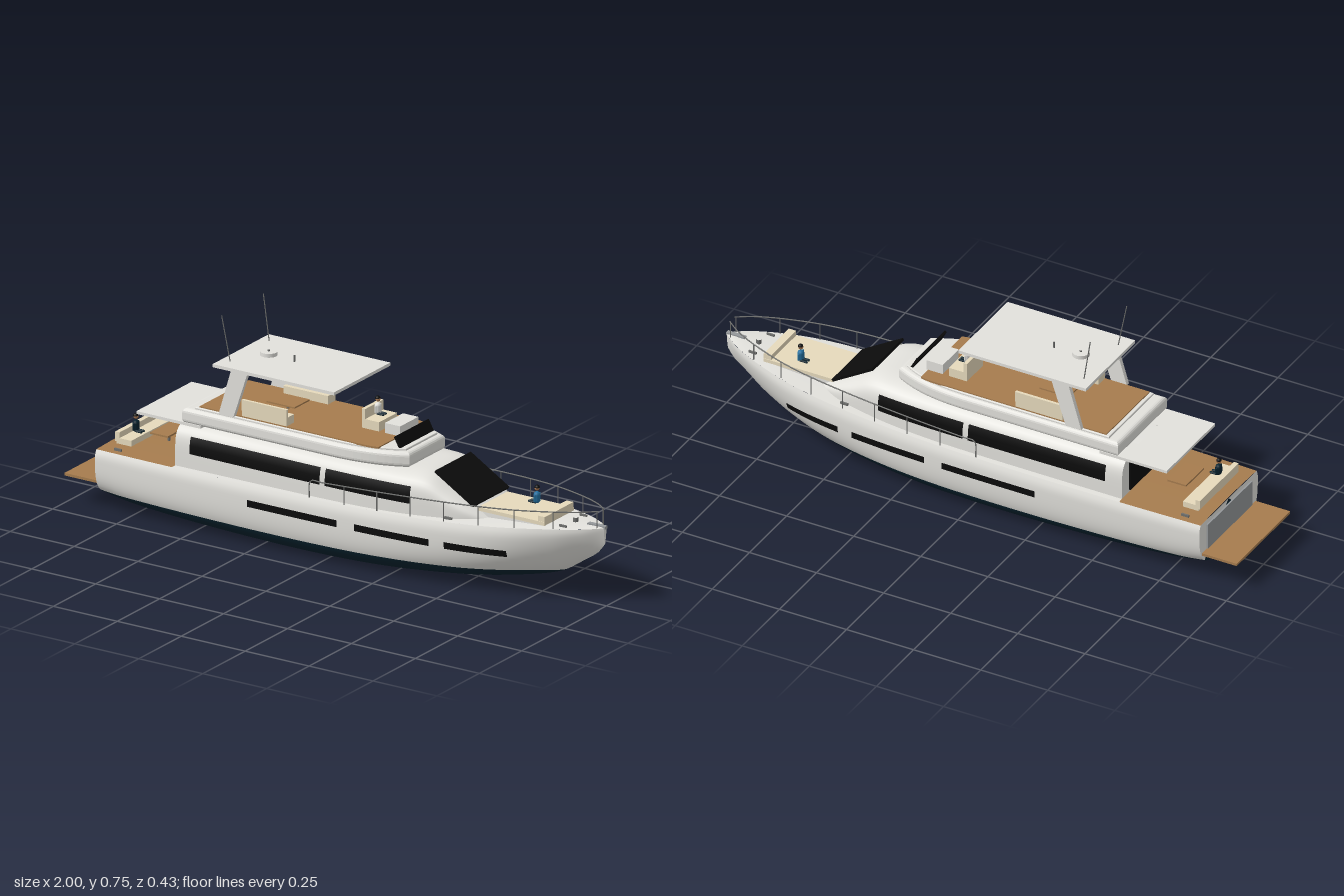
import * as THREE from 'three';

const mat = (name, color) => Object.assign(new THREE.MeshStandardMaterial({ color }), { name });
const M = {
  white: mat('gelcoat white', 0xe2e1dc), navy: mat('antifouling navy', 0x06222e),
  glass: mat('tinted glass', 0x0b0b0b), teak: mat('teak', 0xa67c4e),
  cream: mat('cream cushion', 0xe6dabc), grey: mat('grey panel', 0x94979a),
  steel: mat('rail steel', 0x6f706e), skin: mat('skin', 0xa8764f), blue: mat('blue shirt', 0x2470a0),
};

// Smooth interpolation through [x, value] pairs
function curve(pts) {
  const n = pts.length - 1;
  const slope = i => {
    const a = pts[Math.max(i - 1, 0)], b = pts[Math.min(i + 1, n)];
    return (b[1] - a[1]) / (b[0] - a[0]);
  };
  return x => {
    x = THREE.MathUtils.clamp(x, pts[0][0], pts[n][0]);
    let i = 0;
    while (i < n - 1 && x > pts[i + 1][0]) i++;
    const h = pts[i + 1][0] - pts[i][0], t = (x - pts[i][0]) / h, t2 = t * t, t3 = t2 * t;
    return (2 * t3 - 3 * t2 + 1) * pts[i][1] + (t3 - 2 * t2 + t) * h * slope(i)
      + (3 * t2 - 2 * t3) * pts[i + 1][1] + (t3 - t2) * h * slope(i + 1);
  };
}
const range = (a, b, n) => Array.from({ length: n + 1 }, (_, i) => a + (b - a) * i / n);

// Hull lines: deck half-width, sheer height, keel height, waterline
const beam = curve([[-0.87, 0.197], [-0.6, 0.204], [-0.2, 0.208], [0.2, 0.201], [0.5, 0.18], [0.7, 0.148], [0.85, 0.098], [0.94, 0.052], [0.995, 0.008]]);
const sheer = curve([[-0.87, 0.217], [-0.3, 0.221], [0.2, 0.228], [0.55, 0.244], [0.8, 0.262], [0.995, 0.272]]);
const keel = curve([[-0.87, 0.044], [-0.77, 0.026], [-0.47, 0.008], [0, 0.002], [0.49, 0.025], [0.7, 0.053], [0.83, 0.09], [0.914, 0.142], [0.97, 0.182], [0.995, 0.215]]);
const water = curve([[-0.87, 0.068], [0, 0.066], [0.5, 0.078], [0.8, 0.094], [1, 0.1]]);
function hullZ(x, y) {
  const k = keel(x), v = THREE.MathUtils.clamp((y - k) / (sheer(x) - k), 0, 1);
  const t = THREE.MathUtils.smoothstep(x, 0.1, 0.98);
  const p = 4 - 2.4 * t, q = 4 - 2.9 * t, lip = Math.max(0, (v - 0.82) / 0.18);
  return beam(x) * Math.pow(1 - Math.pow(1 - v, p), 1 / q) * (1 - 0.045 * lip * lip);
}

// Deckhouse lines
const houseW = curve([[-0.57, 0.176], [0.1, 0.178], [0.3, 0.168], [0.42, 0.152], [0.52, 0.13], [0.6, 0.09]]);
const houseTop = curve([[-0.57, 0.372], [0.3, 0.372], [0.39, 0.366], [0.46, 0.328], [0.54, 0.283], [0.6, 0.25]]);
const HOUSE_BASE = 0.215;
function houseZ(x, y) {
  const v = THREE.MathUtils.clamp((y - HOUSE_BASE) / (houseTop(x) - HOUSE_BASE), 0, 1);
  return houseW(x) * Math.pow(1 - Math.pow(v, 6), 1 / 3.5);
}

// Skin over cross-sections; groups run along strips so each can take a colour
function loft(rows, bands) {
  const m = rows[0].length, idx = [], g = new THREE.BufferGeometry();
  for (let j = 0; j < m - 1; j++)
    for (let i = 0; i < rows.length - 1; i++) {
      const a = i * m + j, c = a + m;
      idx.push(a, a + 1, c, a + 1, c + 1, c);
    }
  g.setAttribute('position', new THREE.Float32BufferAttribute(rows.flat(2), 3));
  g.setIndex(idx);
  g.computeVertexNormals();
  const per = (rows.length - 1) * 6;
  if (bands) bands.forEach(([from, to, k]) => g.addGroup(from * per, (to - from) * per, k));
  return g;
}

export function createModel() {
  const root = new THREE.Group();
  root.name = 'motorYacht';
  const add = (name, geo, material, x = 0, y = 0, z = 0, parent = root) => {
    const mesh = new THREE.Mesh(geo, material);
    mesh.name = name;
    mesh.position.set(x, y, z);
    parent.add(mesh);
    return mesh;
  };
  // Box given by its limits
  const box = (name, m, x0, x1, y0, y1, z0, z1) =>
    add(name, new THREE.BoxGeometry(x1 - x0, y1 - y0, z1 - z0), m, (x0 + x1) / 2, (y0 + y1) / 2, (z0 + z1) / 2);
  const rod = (name, m, a, b, r, sides = 6) => {
    const A = new THREE.Vector3(...a), B = new THREE.Vector3(...b);
    return add(name, new THREE.TubeGeometry(new THREE.LineCurve3(A, B), 1, r, sides), m);
  };

  // Hull: topsides and painted bottom in one skin
  const NT = 14, NB = 12;
  const hullRow = x => {
    const k = keel(x), w = Math.max(water(x), k + 0.0005), s = sheer(x), half = [];
    for (let i = 0; i <= NT; i++) half.push(s + (w - s) * i / NT);
    for (let i = 1; i <= NB; i++) half.push(k + (w - k) * (1 - i / NB) ** 2);
    const port = half.map(y => [x, y, hullZ(x, y)]);
    return [...port, ...port.slice(0, -1).reverse().map(([a, b, c]) => [a, b, -c])];
  };
  const bands = [[0, NT, 0], [NT, NT + 2 * NB, 1], [NT + 2 * NB, 2 * (NT + NB), 0]];
  const stations = [...range(-0.87, 0.6, 40), ...range(0.62, 0.995, 30)];
  add('hull', loft(stations.map(hullRow), bands), [M.white, M.navy]);
  const stern = hullRow(-0.87);
  add('transom', loft([stern.map(() => [-0.87, 0.217, 0]), stern], bands), [M.white, M.navy]);
  box('transomDoor', M.grey, -0.876, -0.869, 0.108, 0.2, -0.15, 0.15);
  const bow = hullRow(0.995);
  add('stemFace', loft([bow, bow.map(() => [0.998, 0.268, 0])]), M.white);

  // Decks
  const deck = (x0, x1) => loft(range(x0, x1, 40).map(x => range(-1, 1, 8).map(t =>
    [x, sheer(x) + 0.004 * (1 - t * t), t * hullZ(x, sheer(x))])));
  add('aftDeck', deck(-0.87, -0.57), M.teak);
  add('mainDeck', deck(-0.57, 0.995), M.white);
  box('swimPlatform', M.teak, -1, -0.865, 0.096, 0.105, -0.18, 0.18);

  // Side windows hugging a surface
  const windows = (name, zAt, x0, x1, y0, y1, off) => [1, -1].forEach(s =>
    add(name, loft(range(x0, x1, 16).map(x => range(s > 0 ? y1 : y0, s > 0 ? y0 : y1, 4).map(y =>
      [x, y, s * (zAt(x, y) + off)]))), M.glass));
  [[-0.265, 0.083], [0.15, 0.43], [0.485, 0.7]].forEach(([a, b]) => windows('hullWindow', hullZ, a, b, 0.15, 0.174, 0.005));
  [[-0.51, 0], [0.02, 0.343]].forEach(([a, b]) => windows('cabinWindow', houseZ, a, b, 0.273, 0.331, 0.006));

  // Deckhouse with rounded roof edge and sloping front
  const houseRow = x => {
    const h = houseTop(x) - HOUSE_BASE;
    const half = range(0, 1, 16).map(t => HOUSE_BASE + h * (1 - (1 - t) ** 2.2)).map(y => [x, y, houseZ(x, y)]);
    return [...half.map(([a, b, c]) => [a, b, -c]), ...half.slice(0, -1).reverse()];
  };
  add('deckhouse', loft([...range(-0.57, 0.25, 16), ...range(0.27, 0.6, 24)].map(houseRow)), M.white);
  const aft = houseRow(-0.57), fore = houseRow(0.6);
  add('aftBulkhead', loft([aft.map(() => [-0.57, HOUSE_BASE, 0]), aft]), M.white);
  add('houseNose', loft([fore, fore.map(() => [0.6, HOUSE_BASE, 0])]), M.white);
  box('saloonDoor', M.glass, -0.577, -0.569, 0.23, 0.35, -0.13, 0.13);
  const shield = add('windscreen', new THREE.BoxGeometry(0.176, 0.009, 0.208), M.glass, 0.474, 0.332, 0);
  shield.rotation.z = -Math.atan2(0.09, 0.15);
  box('aftOverhang', M.white, -0.73, -0.48, 0.361, 0.371, -0.163, 0.163);

  // Flybridge coaming, tapered towards the front
  const plan = (x0, x1, w, nose, taper) => {
    const s = new THREE.Shape();
    s.moveTo(x0, -w); s.lineTo(x1 - taper, -w);
    s.quadraticCurveTo(x1 - taper * 0.4, -w, x1, -nose);
    s.lineTo(x1, nose);
    s.quadraticCurveTo(x1 - taper * 0.4, w, x1 - taper, w);
    s.lineTo(x0, w);
    return s;
  };
  const slab = (name, m, shape, y, h, bevel) => {
    const g = new THREE.ExtrudeGeometry(shape, { depth: h - 2 * bevel, bevelEnabled: bevel > 0, bevelSize: bevel, bevelThickness: bevel, bevelSegments: 4, curveSegments: 10 });
    g.rotateX(-Math.PI / 2);
    return add(name, g, m, 0, y + bevel, 0);
  };
  slab('flybridgeCoaming', M.white, plan(-0.535, 0.285, 0.15, 0.095, 0.26), 0.367, 0.053, 0.015);
  slab('coamingLip', M.white, plan(-0.505, 0.275, 0.148, 0.09, 0.24), 0.418, 0.009, 0.003);
  slab('flybridgeDeck', M.teak, plan(-0.495, 0.2, 0.145, 0.138, 0.06), 0.425, 0.006, 0);
  const visor = add('flybridgeScreen', new THREE.BoxGeometry(0.008, 0.042, 0.195), M.glass, 0.247, 0.444, 0);
  visor.rotation.z = 0.5;

  // Hardtop, its legs and equipment
  box('hardtop', M.white, -0.43, 0.045, 0.587, 0.598, -0.166, 0.166);
  [1, -1].forEach(s => {
    const leg = new THREE.Shape([[-0.41, 0], [-0.352, 0], [-0.298, 0.16], [-0.362, 0.16]].map(p => new THREE.Vector2(...p)));
    add('hardtopLeg', new THREE.ExtrudeGeometry(leg, { depth: 0.015, bevelEnabled: false }), M.white, 0, 0.428, s * 0.153 - 0.0075);
    rod('antenna', M.steel, [-0.395, 0.597, s * 0.115], [-0.423, 0.755, s * 0.123], 0.0018);
    // Flybridge benches
    box('benchSeat', M.cream, -0.33, -0.155, 0.43, 0.46, s * 0.122 - 0.022, s * 0.122 + 0.022);
    box('benchBack', M.cream, -0.33, -0.155, 0.45, 0.488, s * 0.14 - 0.005, s * 0.14 + 0.005);
  });
  add('radarDome', new THREE.CylinderGeometry(0.029, 0.029, 0.013, 28), M.white, -0.32, 0.608, 0);
  rod('radarPost', M.steel, [-0.32, 0.58, 0], [-0.32, 0.62, 0], 0.004);
  rod('mastLight', M.steel, [-0.22, 0.597, 0], [-0.22, 0.622, 0], 0.003);
  box('flybridgeTable', M.teak, -0.3, -0.19, 0.454, 0.459, -0.045, 0.045);
  rod('tableLeg', M.steel, [-0.245, 0.43, 0], [-0.245, 0.456, 0], 0.005);

  // Helm
  box('helmSeat', M.cream, 0.055, 0.122, 0.43, 0.463, -0.09, 0.017);
  box('helmSeatBack', M.cream, 0.055, 0.068, 0.46, 0.498, -0.09, 0.017);
  box('helmConsole', M.white, 0.145, 0.205, 0.43, 0.466, -0.09, 0.017);

  // Cockpit furniture
  box('cockpitSofa', M.cream, -0.83, -0.772, 0.228, 0.248, -0.13, 0.13);
  box('cockpitSofaBack', M.cream, -0.835, -0.818, 0.235, 0.268, -0.13, 0.13);
  box('cockpitTable', M.teak, -0.745, -0.675, 0.256, 0.262, -0.06, 0.06);
  rod('tableLeg', M.steel, [-0.71, 0.22, 0], [-0.71, 0.258, 0], 0.005);

  // Foredeck sunpad
  box('sunpadBase', M.white, 0.56, 0.81, 0.24, 0.268, -0.08, 0.08);
  box('sunpad', M.cream, 0.555, 0.815, 0.268, 0.28, -0.087, 0.087);
  box('sunpadHeadrest', M.cream, 0.788, 0.815, 0.28, 0.298, -0.085, 0.085);

  // Bow rail following the deck edge
  const railY = x => 0.283 + 0.047 * (x + 0.035) / 1.01;
  [1, -1].forEach(s => {
    const edge = (x, y) => new THREE.Vector3(x, y, s * Math.max(0.006, hullZ(x, sheer(x)) - 0.005));
    const path = [edge(-0.035, sheer(-0.035)), ...range(-0.03, 0.98, 24).map(x => edge(x, railY(x)))];
    add('bowRail', new THREE.TubeGeometry(new THREE.CatmullRomCurve3(path), 80, 0.0022, 6), M.steel);
    range(0.1, 0.975, 7).forEach(x =>
      rod('railPost', M.steel, edge(x, sheer(x)).toArray(), edge(x, railY(x)).toArray(), 0.0018));
    [-0.8, 0.48, 0.87].forEach(x =>
      box('cleat', M.steel, x - 0.014, x + 0.014, sheer(x), sheer(x) + 0.009, s * hullZ(x, sheer(x)) - s * 0.025 - 0.003, s * hullZ(x, sheer(x)) - s * 0.025 + 0.003));
  });
  rod('windlass', M.steel, [0.88, 0.262, 0], [0.88, 0.286, 0], 0.009, 12);
  box('anchorRoller', M.grey, 0.93, 0.999, 0.268, 0.278, -0.008, 0.008);

  // Seated people
  const person = (x, y, z, shirt, dir) => {
    const p = new THREE.Group();
    p.name = 'person';
    p.position.set(x, y, z);
    root.add(p);
    add('torso', new THREE.CapsuleGeometry(0.011, 0.018, 4, 10), shirt, 0, 0.022, 0, p).scale.z = 1.2;
    add('head', new THREE.SphereGeometry(0.0085, 12, 10), M.skin, 0, 0.054, 0, p);
    add('hair', new THREE.SphereGeometry(0.009, 12, 6, 0, Math.PI * 2, 0, Math.PI / 2), M.glass, -0.001 * dir, 0.056, 0, p);
    [1, -1].forEach(s => {
      add('arm', new THREE.CapsuleGeometry(0.0035, 0.02, 3, 6), shirt, 0, 0.022, s * 0.015, p);
      const leg = add('leg', new THREE.CapsuleGeometry(0.0045, 0.022, 3, 6), M.navy, dir * 0.014, 0.006, s * 0.007, p);
      leg.rotation.z = Math.PI / 2;
    });
  };
  person(-0.8, 0.252, 0.06, M.navy, 1);
  person(0.083, 0.466, -0.036, M.white, 1);
  person(0.7, 0.282, -0.043, M.blue, -1);
  return root;
}
